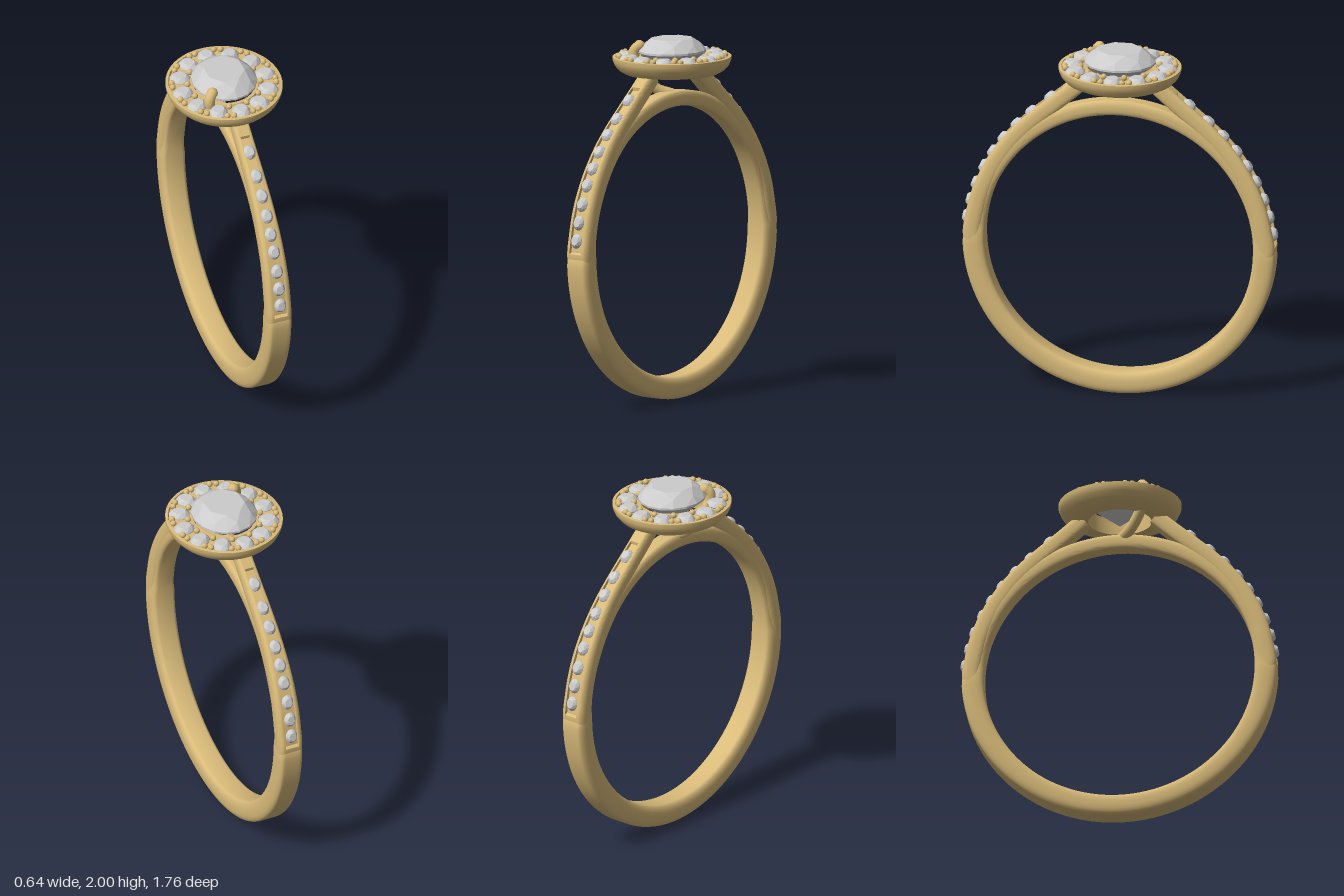
import * as THREE from 'three';
import { toCreasedNormals } from 'three/addons/utils/BufferGeometryUtils.js';
import { ConvexGeometry } from 'three/addons/geometries/ConvexGeometry.js';

const gold = new THREE.MeshStandardMaterial({ color: 0xd9bb7a });
const stone = new THREE.MeshStandardMaterial({ color: 0xcccccc, flatShading: true });
const CY = 0.873; // height of the finger hole's centre

function add(parent, name, geometry, material) {
  const mesh = new THREE.Mesh(geometry, material);
  mesh.name = name;
  parent.add(mesh);
  return mesh;
}

// Rounded bar section [x, outward], with a channel of the given depth in its outer face
function section(hw, th, depth) {
  const pts = [], rx = hw * 0.35, ry = th * 0.42, n = 5;
  const corners = [[1, 1], [-1, 1], [-1, -1], [1, -1]];
  corners.forEach(([sx, sy], q) => {
    for (let i = 0; i <= n; i++) {
      const a = (q + i / n) * Math.PI / 2;
      pts.push([sx * (hw - rx) + rx * Math.cos(a), sy * (th / 2 - ry) + ry * Math.sin(a)]);
    }
    if (q === 0) {
      const w = hw * 0.55, top = th / 2;
      pts.push([w, top], [w * 0.96, top - depth], [-w * 0.96, top - depth], [-w, top]);
    }
  });
  return pts;
}

// Skin a series of closed cross-sections
function loft(rows) {
  const m = rows[0].length, index = [];
  for (let i = 0; i < rows.length - 1; i++) {
    for (let j = 0; j < m; j++) {
      const k = (j + 1) % m;
      const a = i * m + j, b = i * m + k, c = (i + 1) * m + k, d = (i + 1) * m + j;
      index.push(a, d, b, b, d, c);
    }
  }
  const g = new THREE.BufferGeometry().setFromPoints(rows.flat());
  g.setIndex(index);
  return toCreasedNormals(g, 0.6);
}

// Place a section at a point of the ring plane, with its outward direction (y, z)
function placeSection(pts, y, z, ny, nz) {
  return pts.map(([x, v]) => new THREE.Vector3(x, y + ny * v, z + nz * v));
}

// Faceted round stone: radius 1, table at y = 1, girdle at 0, point at -depth
function gemGeometry(depth) {
  const pts = [new THREE.Vector3(0, -depth, 0)];
  const ring = (n, r, y, shift) => {
    for (let i = 0; i < n; i++) {
      const a = (i + shift) / n * Math.PI * 2;
      pts.push(new THREE.Vector3(r * Math.sin(a), y, r * Math.cos(a)));
    }
  };
  ring(8, 0.62, 1, 0.5);
  ring(8, 0.84, 0.6, 0);
  ring(16, 1, 0.08, 0);
  ring(16, 1, -0.08, 0);
  return new ConvexGeometry(pts);
}

function makeBand() {
  const rows = [], n = 120;
  for (let i = 0; i <= n; i++) {
    const a = i / n * Math.PI * 2, s = Math.sin(a), c = Math.cos(a);
    // Thinner and narrower above the start of the shoulders
    const up = THREE.MathUtils.smoothstep(s, -0.02, 0.08);
    const outer = 0.872 - 0.037 * up, inner = 0.75;
    const hw = 0.073 - 0.01 * up - 0.013 * THREE.MathUtils.smoothstep(s, 0.4, 0.95);
    const mid = (outer + inner) / 2;
    rows.push(placeSection(section(hw, outer - inner, 0), CY + mid * s, mid * c, s, c));
  }
  return loft(rows);
}

function makeShoulder(smallGem) {
  const group = new THREE.Group();
  group.name = 'shoulder';
  // Outer edge as [z, y]
  const edge = [[0.85, 0.78], [0.87, 0.89], [0.854, 1.0], [0.826, 1.12], [0.78, 1.24], [0.715, 1.36],
    [0.627, 1.48], [0.525, 1.585], [0.41, 1.685], [0.31, 1.77], [0.23, 1.84]];
  const curve = new THREE.CatmullRomCurve3(edge.map(([z, y]) => new THREE.Vector3(0, y, z)));
  const frame = u => {
    const p = curve.getPointAt(u), t = curve.getTangentAt(u);
    return { y: p.y, z: p.z, ny: -t.z, nz: t.y };
  };
  const rows = [], n = 130;
  for (let i = 0; i <= n; i++) {
    const u = i / n, f = frame(u);
    const depth = f.y > 0.905 && f.y < 1.755 ? 0.016 : 0;
    const k = THREE.MathUtils.smoothstep(f.y, 1.0, 1.85);
    const th = 0.1 - 0.012 * k;
    const pts = section(0.072 - 0.023 * k, th, depth);
    rows.push(placeSection(pts, f.y - f.ny * th / 2, f.z - f.nz * th / 2, f.ny, f.nz));
  }
  add(group, 'shoulderBar', loft(rows), gold);

  // Nine stones set along the channel
  for (const y of [0.97, 1.07, 1.17, 1.27, 1.36, 1.445, 1.53, 1.61, 1.7]) {
    let u = 0;
    while (curve.getPointAt(u).y < y) u += 0.002;
    const f = frame(u);
    const gem = add(group, 'shoulderStone', smallGem, stone);
    gem.position.set(0, f.y - f.ny * 0.004, f.z - f.nz * 0.004);
    gem.rotation.x = Math.atan2(f.nz, f.ny);
    gem.scale.set(0.034, 0.022, 0.041);
  }
  return group;
}

function makeHalo(smallGem) {
  const group = new THREE.Group();
  group.name = 'halo';
  // Oval tray, open in the middle
  const profile = [[0.165, 1.8], [0.215, 1.8], [0.25, 1.806], [0.285, 1.825], [0.308, 1.852], [0.319, 1.88],
    [0.32, 1.9], [0.304, 1.902], [0.3, 1.886], [0.192, 1.886], [0.188, 1.9], [0.17, 1.9], [0.165, 1.8]];
  const tray = new THREE.LatheGeometry(profile.map(([r, y]) => new THREE.Vector2(r, y)), 72);
  tray.scale(1, 1, 1.06);
  tray.deleteAttribute('normal');
  add(group, 'haloTray', toCreasedNormals(tray, 0.6), gold);

  const bead = new THREE.SphereGeometry(0.017, 10, 8);
  const addBead = (a, rx, rz) => {
    const mesh = add(group, 'haloBead', bead, gold);
    mesh.position.set(rx * Math.sin(a), 1.905, rz * Math.cos(a));
  };
  for (let i = 0; i < 12; i++) {
    const a = i * Math.PI / 6, gap = a + Math.PI / 12;
    const gem = add(group, 'haloStone', smallGem, stone);
    gem.position.set(0.241 * Math.sin(a), 1.894, 0.264 * Math.cos(a));
    gem.rotation.y = a;
    gem.scale.set(0.051, 0.026, 0.059);
    addBead(gap - 0.065, 0.285, 0.305);
    addBead(gap + 0.065, 0.285, 0.305);
    addBead(gap, 0.2, 0.22);
  }
  return group;
}

export function createModel() {
  const model = new THREE.Group();
  model.name = 'ring';
  const smallGem = gemGeometry(1.4);

  add(model, 'band', makeBand(), gold);
  const front = makeShoulder(smallGem), back = makeShoulder(smallGem);
  back.rotation.y = Math.PI;
  model.add(front, back, makeHalo(smallGem));

  // Large oval centre stone
  const centre = add(model, 'centreStone', gemGeometry(2.25), stone);
  centre.position.y = 1.93;
  centre.scale.set(0.18, 0.07, 0.2);

  // Single claw rising from the bridge and hooking over the stone
  const path = [[0, 1.69, 0], [-0.06, 1.72, 0.06], [-0.11, 1.8, 0.12], [-0.143, 1.89, 0.153],
    [-0.142, 1.94, 0.152], [-0.122, 1.962, 0.136]].map(p => new THREE.Vector3(...p));
  add(model, 'claw', new THREE.TubeGeometry(new THREE.CatmullRomCurve3(path), 32, 0.03, 12), gold);
  const tip = add(model, 'clawTip', new THREE.SphereGeometry(0.031, 14, 10), gold);
  tip.position.copy(path[5]);

  return model;
}
